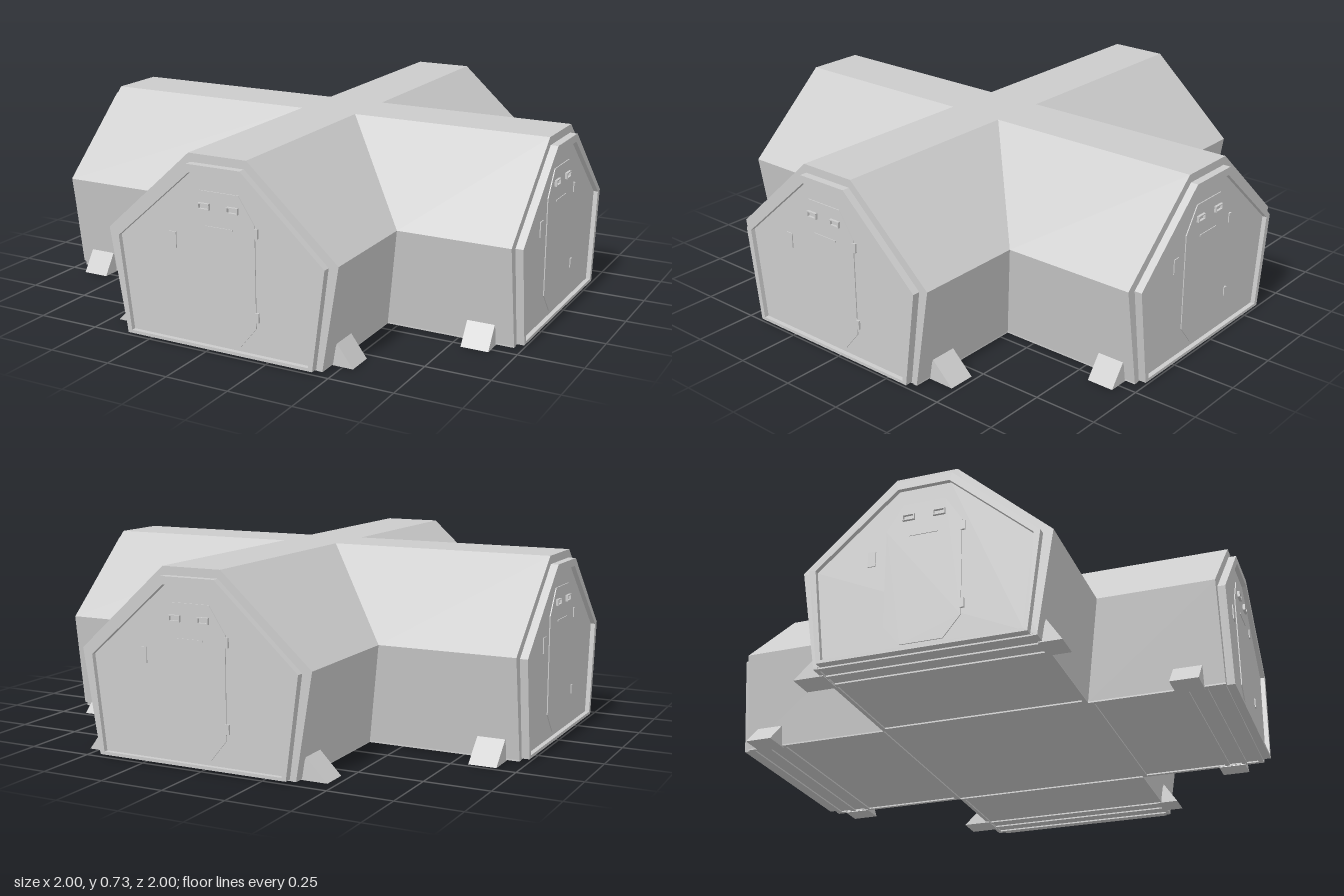
import * as THREE from 'three';

const mat = new THREE.MeshStandardMaterial({ color: 0xcccccc, flatShading: true });
const CX = 0.047, CZ = 0.04; // crossing point of the corridors

// Six-sided corridor outline, counter-clockwise from bottom right
const outline = (bottom, y0, mid, y1, top, y2) => [
  [bottom, y0], [mid, y1], [top, y2], [-top, y2], [-mid, y1], [-bottom, y0],
];
const HULL = outline(0.415, 0.01, 0.478, 0.4, 0.119, 0.725);
const COLLAR = outline(0.39, 0.01, 0.44, 0.39, 0.11, 0.693);
const OPENING = outline(0.373, 0.022, 0.415, 0.385, 0.1, 0.663);

const toShape = (pts) => new THREE.Shape(pts.map(([x, y]) => new THREE.Vector2(x, y)));

function add(parent, name, geometry, x = 0, y = 0, z = 0) {
  const mesh = new THREE.Mesh(geometry, mat);
  mesh.name = name;
  mesh.position.set(x, y, z);
  parent.add(mesh);
  return mesh;
}

const extrude = (shape, depth) => new THREE.ExtrudeGeometry(shape, { depth, bevelEnabled: false });

// Hull of one arm, mitred at 45 degrees where it meets its neighbours
function armHull(length) {
  const pos = [];
  HULL.forEach(([x0, y0], i) => {
    const [x1, y1] = HULL[(i + 1) % HULL.length];
    const a = [x0, y0, length], b = [x0, y0, Math.abs(x0)];
    const c = [x1, y1, Math.abs(x1)], d = [x1, y1, length];
    pos.push(...a, ...b, ...c, ...a, ...c, ...d);
  });
  const g = new THREE.BufferGeometry();
  g.setAttribute('position', new THREE.Float32BufferAttribute(pos, 3));
  g.computeVertexNormals();
  return g;
}

// Door leaf with fittings; z = 0 is the bulkhead surface
function makeDoor() {
  const door = new THREE.Group();
  door.name = 'door';
  const leaf = toShape([
    [-0.08, 0.04], [0.08, 0.04], [0.145, 0.12], [0.145, 0.5],
    [0.08, 0.6], [-0.08, 0.6], [-0.145, 0.5], [-0.145, 0.12],
  ]);
  add(door, 'doorLeaf', extrude(leaf, 0.004));
  for (const s of [-1, 1]) {
    const x = s * 0.059;
    add(door, 'windowSill', new THREE.BoxGeometry(0.046, 0.004, 0.012), x, 0.534, 0.008);
    add(door, 'windowHood', new THREE.BoxGeometry(0.046, 0.004, 0.012), x, 0.554, 0.008);
    for (const e of [-1, 1])
      add(door, 'windowJamb', new THREE.BoxGeometry(0.004, 0.024, 0.012), x + e * 0.021, 0.544, 0.008);
  }
  for (const y of [0.163, 0.473])
    add(door, 'hinge', new THREE.BoxGeometry(0.016, 0.036, 0.008), 0.15, y, 0.004);
  add(door, 'handleBar', new THREE.BoxGeometry(0.11, 0.006, 0.004), 0, 0.47, 0.005);
  add(door, 'keypad', new THREE.BoxGeometry(0.03, 0.06, 0.004), -0.2, 0.4, 0.002);
  return door;
}

// Each arm points along its own +z before being turned into place
function makeArm({ name, turn, reach, foot, footShift, doorShift }) {
  const arm = new THREE.Group();
  arm.name = name;
  arm.rotation.y = turn;
  const end = reach - 0.03;

  add(arm, 'hull', armHull(end));
  add(arm, 'hullEnd', new THREE.ShapeGeometry(toShape(HULL)), 0, 0, end);

  // Projecting collar around the recessed bulkhead
  const ring = toShape(COLLAR);
  ring.holes.push(toShape(OPENING));
  add(arm, 'collar', extrude(ring, 0.03), 0, 0, end);
  add(arm, 'bulkhead', extrude(toShape(OPENING), 0.012), 0, 0, end);
  const door = makeDoor();
  door.position.set(doorShift, 0, end + 0.012);
  arm.add(door);

  // Wedge feet on both sides
  for (const s of [-1, 1]) {
    const wedge = toShape([[s * 0.4, 0], [s * 0.503 + footShift, 0], [s * 0.43, 0.085]]);
    add(arm, 'foot', extrude(wedge, 0.108), 0, 0, foot - 0.054);
  }

  // Ribs and rails under the floor
  for (const z of [0.425, end - 0.012, end - 0.08, end - 0.15])
    add(arm, 'floorRib', new THREE.BoxGeometry(0.83, 0.008, 0.02), 0, 0.008, z);
  for (const s of [-1, 1])
    add(arm, 'floorRail', new THREE.BoxGeometry(0.016, 0.008, end - 0.42), s * 0.407, 0.008, (end + 0.42) / 2);
  return arm;
}

export function createModel() {
  const model = new THREE.Group();
  model.name = 'corridorCrossing';
  const body = new THREE.Group();
  body.name = 'body';
  body.position.set(CX, 0, CZ);
  model.add(body);

  // Central roof and floor panels
  add(body, 'centreRoof', new THREE.PlaneGeometry(0.238, 0.238).rotateX(-Math.PI / 2), 0, 0.725, 0);
  add(body, 'centreFloor', new THREE.PlaneGeometry(0.83, 0.83).rotateX(Math.PI / 2), 0, 0.01, 0);

  const q = Math.PI / 2;
  [
    { name: 'frontArm', turn: 0, reach: 1 - CZ, foot: 0.838 - CZ, footShift: -0.01, doorShift: 0.013 },
    { name: 'leftArm', turn: q, reach: 1 - CX, foot: 0.845 - CX, footShift: 0.016, doorShift: -0.01 },
    { name: 'backArm', turn: 2 * q, reach: 1 + CZ, foot: 0.872 + CZ, footShift: 0.01, doorShift: 0 },
    { name: 'rightArm', turn: -q, reach: 1 + CX, foot: 0.865 + CX, footShift: -0.016, doorShift: 0 },
  ].forEach((spec) => body.add(makeArm(spec)));

  return model;
}
